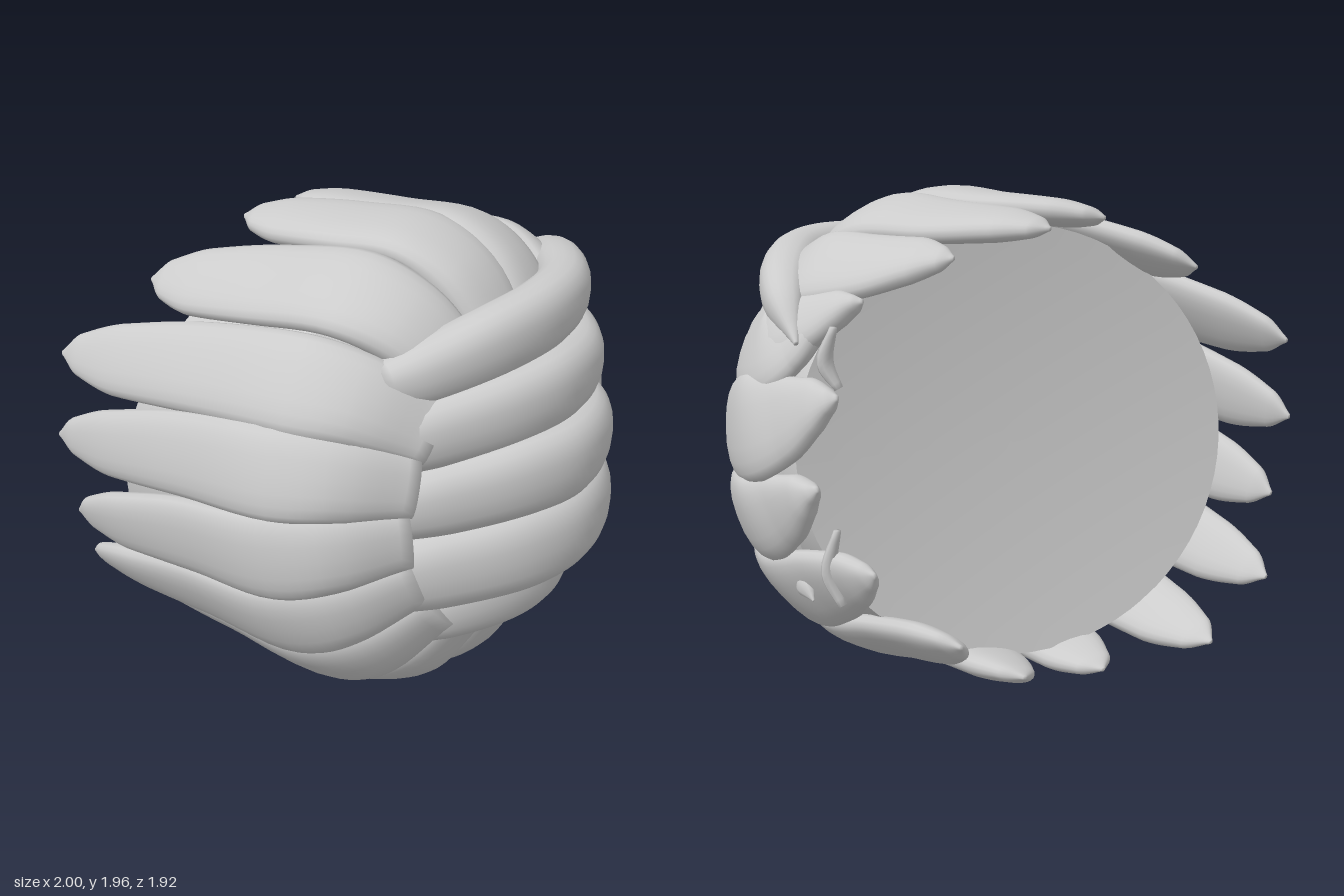
import * as THREE from 'three';

const MID_Y = 0.97;
const material = new THREE.MeshStandardMaterial({ color: 0xcccccc });
const bodyMaterial = new THREE.MeshStandardMaterial({ color: 0xcccccc, side: THREE.DoubleSide });
const V = (x, y, z) => new THREE.Vector3(x, y, z);

// Closed padded strip along a curve. Each station is [position, halfWidth, halfThickness].
function loft(name, stations, outward, rows = 36, sides = 20) {
  const path = new THREE.CatmullRomCurve3(stations.map(s => s[0]), false, 'centripetal');
  const size = new THREE.CatmullRomCurve3(stations.map(s => V(s[1], s[2], 0)), false, 'catmullrom', 0.4);
  const pos = [], index = [];
  for (let i = -1; i <= rows + 1; i++) {
    const t = THREE.MathUtils.clamp(i / rows, 0, 1);
    const c = path.getPoint(t), tangent = path.getTangent(t), s = size.getPoint(t);
    const cap = i < 0 || i > rows ? 0 : 1;
    const w = tangent.clone().cross(outward(c)).normalize();
    const n = w.clone().cross(tangent);
    for (let j = 0; j < sides; j++) {
      const a = j / sides * Math.PI * 2, co = Math.cos(a), si = Math.sin(a);
      const p = c.clone()
        .addScaledVector(w, Math.sign(co) * Math.abs(co) ** 0.85 * Math.max(s.x, 0) * cap)
        .addScaledVector(n, Math.sign(si) * Math.abs(si) ** 0.85 * Math.max(s.y, 0) * cap);
      pos.push(p.x, p.y, p.z);
    }
  }
  for (let i = 0; i < rows + 2; i++) {
    for (let j = 0; j < sides; j++) {
      const a = i * sides + j, b = i * sides + (j + 1) % sides, c = a + sides, d = b + sides;
      index.push(a, c, b, b, c, d);
    }
  }
  const geo = new THREE.BufferGeometry();
  geo.setAttribute('position', new THREE.Float32BufferAttribute(pos, 3));
  geo.setIndex(index);
  geo.computeVertexNormals();
  const mesh = new THREE.Mesh(geo, material);
  mesh.name = name;
  return mesh;
}

const radial = p => V(p.x, p.y - MID_Y, 0.001).normalize();
const polar = (deg, r, z) => {
  const a = THREE.MathUtils.degToRad(deg);
  return V(Math.cos(a) * r * 1.025, MID_Y + Math.sin(a) * r, z);
};

// Petal: blunt at the front, bulging round the side, twisting to a point at the back.
// Short petals taper early, long ones stay full until close to the tip.
function petal(tipAngle, tipZ, tipR, width) {
  const start = tipAngle - 15;
  const at = k => THREE.MathUtils.lerp(0.22, tipZ, k);
  const rad = k => THREE.MathUtils.lerp(0.905, tipR, k);
  const full = THREE.MathUtils.smoothstep(-tipZ, 0.15, 0.6);
  const mix = (short, long) => width * THREE.MathUtils.lerp(short, long, full);
  return loft('petal', [
    [polar(start, 0.56, 0.6), width * 0.68, 0.06],
    [polar(start + 1, 0.79, 0.42), width * 0.92, 0.08],
    [polar(start + 3, 0.905, 0.22), width, 0.065],
    [polar(start + 7, rad(0.4), at(0.4)), mix(0.82, 0.92), 0.06],
    [polar(start + 12, rad(0.75), at(0.75)), mix(0.5, 0.74), 0.055],
    [polar(start + 14, rad(0.92), at(0.92)), mix(0.22, 0.44), 0.036],
    [polar(tipAngle, tipR, tipZ), 0.01, 0.008],
  ], radial);
}

// Front band: horizontal pad bowed forward, points are [x, y, z of outer face, halfWidth]
function band(points) {
  const depth = 0.11;
  return loft('frontBand', points.map(([x, y, z, w]) =>
    [V(x * 0.97, y, z - depth), w, Math.min(depth, w * 0.9)]),
  p => V(p.x, 0, p.z + 0.3).normalize(), 40);
}

// Body under the pads: domed front and side wall
const RIM = 0.86;
const rimZ = (x, y) => -0.28 + 0.37 * x + 0.1 * y;
function bodyFront() {
  const profile = new THREE.SplineCurve([[0.001, 0.62], [0.3, 0.54], [0.55, 0.38], [0.74, 0.24], [RIM, 0.12]]
    .map(p => new THREE.Vector2(...p))).getPoints(24);
  profile.push(new THREE.Vector2(RIM, -1));
  const geo = new THREE.LatheGeometry(profile, 72);
  geo.rotateX(Math.PI / 2);
  const p = geo.attributes.position;
  for (let i = 0; i < p.count; i++) {
    if (p.getZ(i) < -0.9) p.setZ(i, rimZ(p.getX(i), p.getY(i)));
  }
  geo.translate(0, MID_Y, 0);
  geo.computeVertexNormals();
  const mesh = new THREE.Mesh(geo, bodyMaterial);
  mesh.name = 'bodyFront';
  return mesh;
}

// Slanted, slightly hollow back face closing the body
function bodyBack() {
  const geo = new THREE.RingGeometry(0.0005, RIM, 72, 12);
  const p = geo.attributes.position;
  for (let i = 0; i < p.count; i++) {
    const x = p.getX(i), y = p.getY(i);
    p.setZ(i, rimZ(x, y) + 0.05 * (1 - (x * x + y * y) / (RIM * RIM)));
  }
  geo.translate(0, MID_Y, 0);
  geo.computeVertexNormals();
  const mesh = new THREE.Mesh(geo, bodyMaterial);
  mesh.name = 'bodyBack';
  return mesh;
}

export function createModel() {
  const group = new THREE.Group();
  group.add(bodyFront(), bodyBack());

  // Ring of petals: tip angle, tip z, tip radius, half width
  const petals = new THREE.Group();
  petals.name = 'petalRing';
  [
    [-3, -0.14, 0.88, 0.18], [-26, -0.31, 0.84, 0.21], [-51, -0.53, 0.84, 0.2],
    [-75, -0.56, 0.88, 0.2], [-98, -0.64, 0.9, 0.19], [-120, -0.91, 0.91, 0.19],
    [-142, -0.96, 0.92, 0.18], [-163, -0.85, 0.92, 0.18], [176, -0.91, 0.9, 0.18],
    [155, -0.93, 0.92, 0.19], [130, -0.68, 0.89, 0.2], [105, -0.5, 0.92, 0.2],
    [85, -0.52, 0.88, 0.19], [62, -0.37, 0.89, 0.19], [44, -0.13, 0.9, 0.15],
    [39, 0.0, 0.9, 0.18], [20, -0.2, 0.88, 0.21],
  ].forEach(args => petals.add(petal(...args)));
  group.add(petals);

  // Stacked front bands, top to bottom; all but the top one tuck under the petals
  const bands = new THREE.Group();
  bands.name = 'frontBands';
  [
    [[-0.56, 1.5, 0.55, 0.09], [-0.4, 1.54, 0.64, 0.12], [-0.15, 1.6, 0.75, 0.14], [0.1, 1.63, 0.78, 0.14],
      [0.35, 1.64, 0.72, 0.13], [0.6, 1.62, 0.53, 0.12], [0.78, 1.56, 0.33, 0.09], [0.88, 1.44, 0.14, 0.01]],
    [[-0.6, 1.28, 0.56, 0.12], [-0.4, 1.32, 0.7, 0.14], [-0.15, 1.36, 0.83, 0.15], [0.08, 1.38, 0.87, 0.15],
      [0.35, 1.38, 0.8, 0.14], [0.57, 1.38, 0.61, 0.13], [0.7, 1.38, 0.46, 0.08]],
    [[-0.62, 1.03, 0.58, 0.12], [-0.4, 1.06, 0.74, 0.15], [-0.15, 1.1, 0.9, 0.16], [0.08, 1.11, 0.95, 0.16],
      [0.35, 1.11, 0.86, 0.15], [0.57, 1.1, 0.64, 0.14], [0.7, 1.1, 0.47, 0.1]],
    [[-0.62, 0.74, 0.58, 0.14], [-0.4, 0.76, 0.74, 0.17], [-0.15, 0.8, 0.91, 0.18], [0.08, 0.82, 0.96, 0.17],
      [0.35, 0.82, 0.87, 0.16], [0.58, 0.81, 0.65, 0.15], [0.7, 0.8, 0.48, 0.1]],
    [[-0.48, 0.49, 0.53, 0.1], [-0.3, 0.5, 0.65, 0.13], [0.0, 0.52, 0.76, 0.15], [0.2, 0.53, 0.76, 0.14],
      [0.4, 0.56, 0.66, 0.12], [0.56, 0.6, 0.5, 0.08]],
  ].forEach(points => bands.add(band(points)));
  group.add(bands);

  // Small bent clips on the left rim
  const sideways = () => V(1, 0, 0);
  for (const [bottom, top] of [[1.29, 1.52], [0.45, 0.75]]) {
    const bend = (bottom + top) / 2 - 0.02;
    group.add(loft('rimClip', [
      [V(0.8, bottom, -0.15), 0.012, 0.02],
      [V(0.83, bend, -0.11), 0.025, 0.035],
      [V(0.82, top, -0.15), 0.012, 0.015],
    ], sideways, 10, 8));
  }

  // Small barb on the lower left petal
  group.add(loft('barb', [
    [V(0.79, 0.49, 0.12), 0.02, 0.02],
    [V(0.81, 0.48, 0.06), 0.045, 0.035],
    [V(0.83, 0.44, -0.01), 0.004, 0.004],
  ], sideways, 10, 10));

  return group;
}
